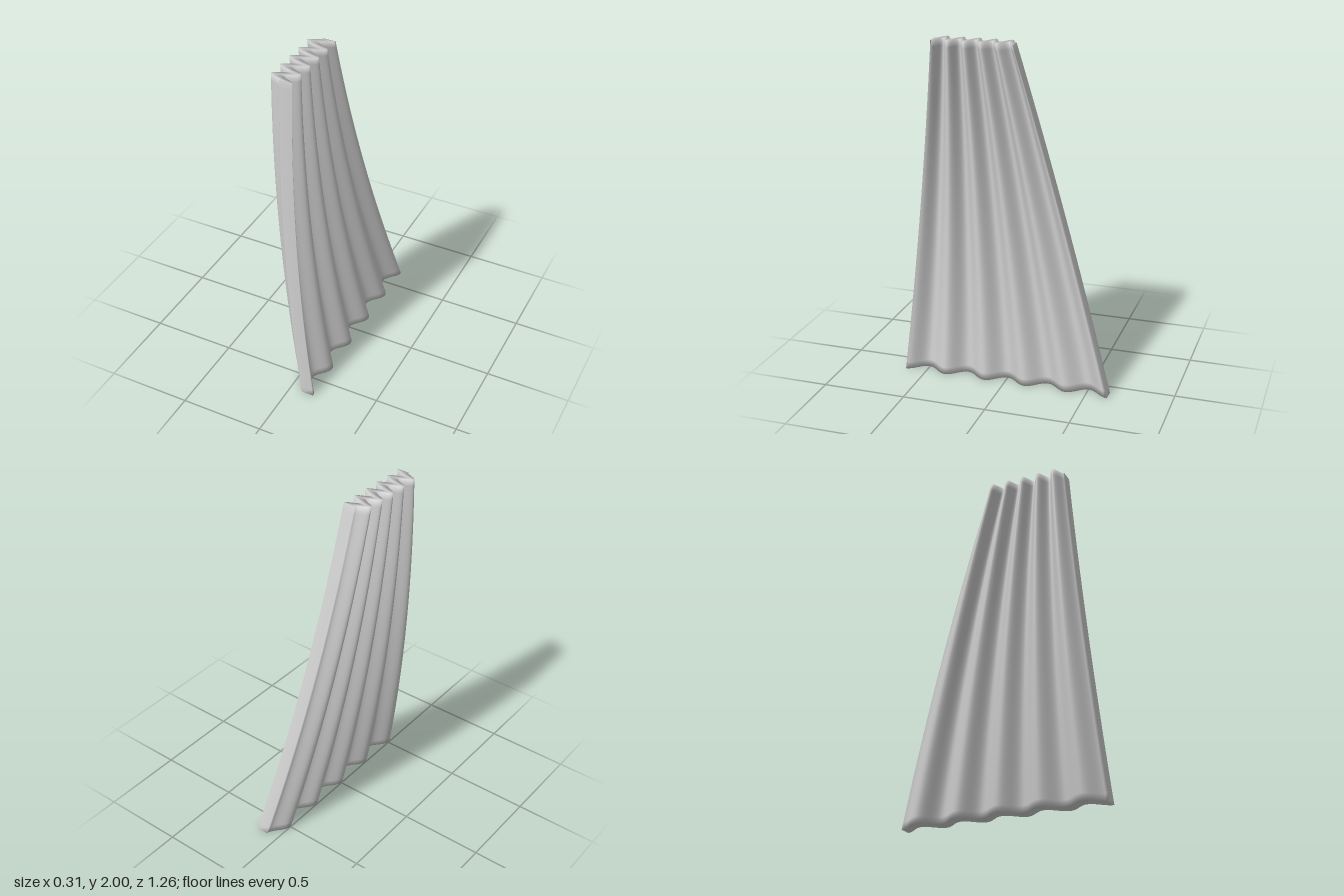
import * as THREE from 'three';

const FOLDS = 5, COLS = FOLDS * 16;
const AMP = 0.037, HALF_THICK = 0.037;
// row heights, with close rows at both hems so their edges shade softly
const ROWS = [0, 0.04, ...Array.from({ length: 19 }, (_, i) => 0.1 * (i + 1)), 1.96, 2];

// point on the pleated cloth: u runs front to back, side is +1 outer / -1 inner
function clothPoint(u, y, side) {
  const t = 1 - y / 2; // 0 at the top, 1 at the bottom
  const zFront = 0.49 + 0.14 * t;
  const zBack = -0.63 * t;
  const x = -0.09 + 0.166 * t * t + AMP * Math.cos(u * FOLDS * Math.PI * 2) + side * HALF_THICK;
  return [x, y, zFront + (zBack - zFront) * u];
}

// closed sheet: each row is a ring going along the outer face and back along the inner
function pleatedSheet() {
  const pos = [], idx = [];
  const ring = 2 * (COLS + 1);
  for (const y of ROWS) {
    for (let i = 0; i <= COLS; i++) pos.push(...clothPoint(i / COLS, y, 1));
    for (let i = COLS; i >= 0; i--) pos.push(...clothPoint(i / COLS, y, -1));
  }
  const quad = (a, b, c, d) => idx.push(a, b, c, a, c, d);
  // faces and end edges
  for (let r = 0; r < ROWS.length - 1; r++) {
    for (let i = 0; i < ring; i++) {
      const j = (i + 1) % ring, lo = r * ring, hi = lo + ring;
      quad(lo + i, lo + j, hi + j, hi + i);
    }
  }
  // bottom and top hems
  const top = (ROWS.length - 1) * ring;
  for (let i = 0; i < COLS; i++) {
    const a = i, b = i + 1, c = ring - 2 - i, d = ring - 1 - i;
    quad(a, d, c, b);
    quad(top + a, top + b, top + c, top + d);
  }
  const geo = new THREE.BufferGeometry();
  geo.setAttribute('position', new THREE.Float32BufferAttribute(pos, 3));
  geo.setIndex(idx);
  geo.computeVertexNormals();
  return geo;
}

export function createModel() {
  const cloth = new THREE.MeshStandardMaterial({ color: 0xcccccc });
  cloth.name = 'light grey cloth';
  const curtain = new THREE.Mesh(pleatedSheet(), cloth);
  curtain.name = 'pleatedCurtain';
  const group = new THREE.Group();
  group.name = 'curtain';
  group.add(curtain);
  return group;
}
